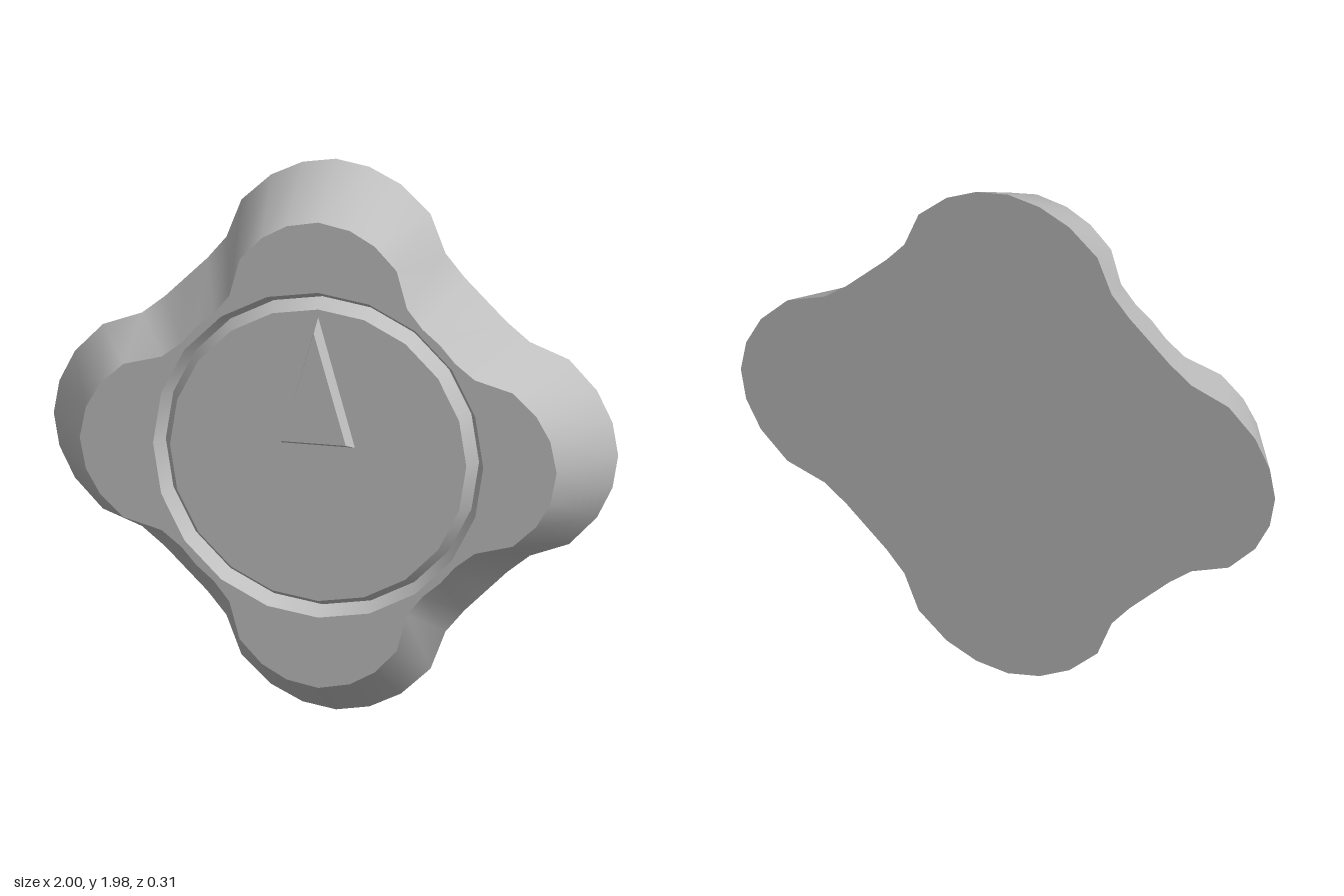
import * as THREE from 'three';

const BACK = -0.157, FRONT = 0.093, POINTER = 0.157;
const GROOVE_OUT = 0.585, GROOVE_IN = 0.525, GROOVE_DEPTH = 0.06, SIDES = 20;

// Half-lobe points from a tip to the diagonal, mirrored and turned into a four-lobed loop
function lobedLoop(half) {
  const mirrored = half.slice(1, -1).reverse().map(([x, y]) => [y, x]);
  const quarter = [...half, ...mirrored];
  const loop = [];
  for (let k = 0; k < 4; k++) {
    const c = [1, 0, -1, 0][k], s = [0, 1, 0, -1][k];
    for (const [x, y] of quarter) loop.push(new THREE.Vector2(c * x - s * y, (s * x + c * y) * 0.992));
  }
  return loop;
}

// Side wall between two loops of equal length (counter-clockwise seen from the front)
function loft(back, front, zBack, zFront) {
  const n = back.length, pos = [], index = [];
  back.forEach((p) => pos.push(p.x, p.y, zBack));
  front.forEach((p) => pos.push(p.x, p.y, zFront));
  for (let i = 0; i < n; i++) {
    const j = (i + 1) % n;
    index.push(i, j, n + j, i, n + j, n + i);
  }
  const g = new THREE.BufferGeometry();
  g.setAttribute('position', new THREE.Float32BufferAttribute(pos, 3));
  g.setIndex(index);
  g.computeVertexNormals();
  return g;
}

export function createModel() {
  const group = new THREE.Group();
  const grey = new THREE.MeshStandardMaterial({ color: 0xc0c0c0 });
  grey.name = 'grey';
  const add = (name, geometry) => {
    const mesh = new THREE.Mesh(geometry, grey);
    mesh.name = name;
    group.add(mesh);
  };

  const backLoop = lobedLoop([[1, 0], [0.98, 0.118], [0.925, 0.23], [0.826, 0.335],
    [0.687, 0.388], [0.605, 0.455], [0.53, 0.53]]);
  const frontLoop = lobedLoop([[0.845, 0], [0.823, 0.112], [0.773, 0.2], [0.69, 0.278],
    [0.555, 0.315], [0.485, 0.37], [0.432, 0.432]]);

  // Knob body: sloping wall, back and front faces
  add('bodyWall', loft(backLoop, frontLoop, BACK, FRONT));
  add('bodyBack', new THREE.ShapeGeometry(new THREE.Shape(backLoop)).rotateY(Math.PI).translate(0, 0, BACK));

  const face = new THREE.Shape(frontLoop);
  const rim = [];
  for (let i = 0; i < SIDES; i++) {
    const a = (i / SIDES) * Math.PI * 2;
    rim.push(new THREE.Vector2(Math.cos(a) * GROOVE_OUT, Math.sin(a) * GROOVE_OUT));
  }
  face.holes.push(new THREE.Path(rim));
  add('bodyFront', new THREE.ShapeGeometry(face).translate(0, 0, FRONT));

  // V-shaped ring groove and the dial it encloses
  const mid = (GROOVE_OUT + GROOVE_IN) / 2, bottom = FRONT - GROOVE_DEPTH;
  const ring = (r0, z0, r1, z1) => new THREE.LatheGeometry(
    [new THREE.Vector2(r0, z0), new THREE.Vector2(r1, z1)], SIDES).rotateX(Math.PI / 2);
  add('grooveOuterWall', ring(GROOVE_OUT, FRONT, mid, bottom));
  add('grooveInnerWall', ring(mid, bottom, GROOVE_IN, FRONT));
  add('dial', new THREE.CircleGeometry(GROOVE_IN, SIDES).translate(0, 0, FRONT));

  // Raised triangular pointer with bevelled sides
  const triangle = (top, base, half) => [new THREE.Vector2(0, top),
    new THREE.Vector2(-half, base), new THREE.Vector2(half, base)];
  const tip = triangle(0.458, 0.062, 0.114);
  const sides = loft(triangle(0.497, 0.037, 0.13), tip, FRONT, POINTER).toNonIndexed();
  sides.computeVertexNormals();
  add('pointerSides', sides);
  add('pointerTop', new THREE.ShapeGeometry(new THREE.Shape(tip)).translate(0, 0, POINTER));

  group.children.forEach((m) => { m.position.y = 1; });
  return group;
}
